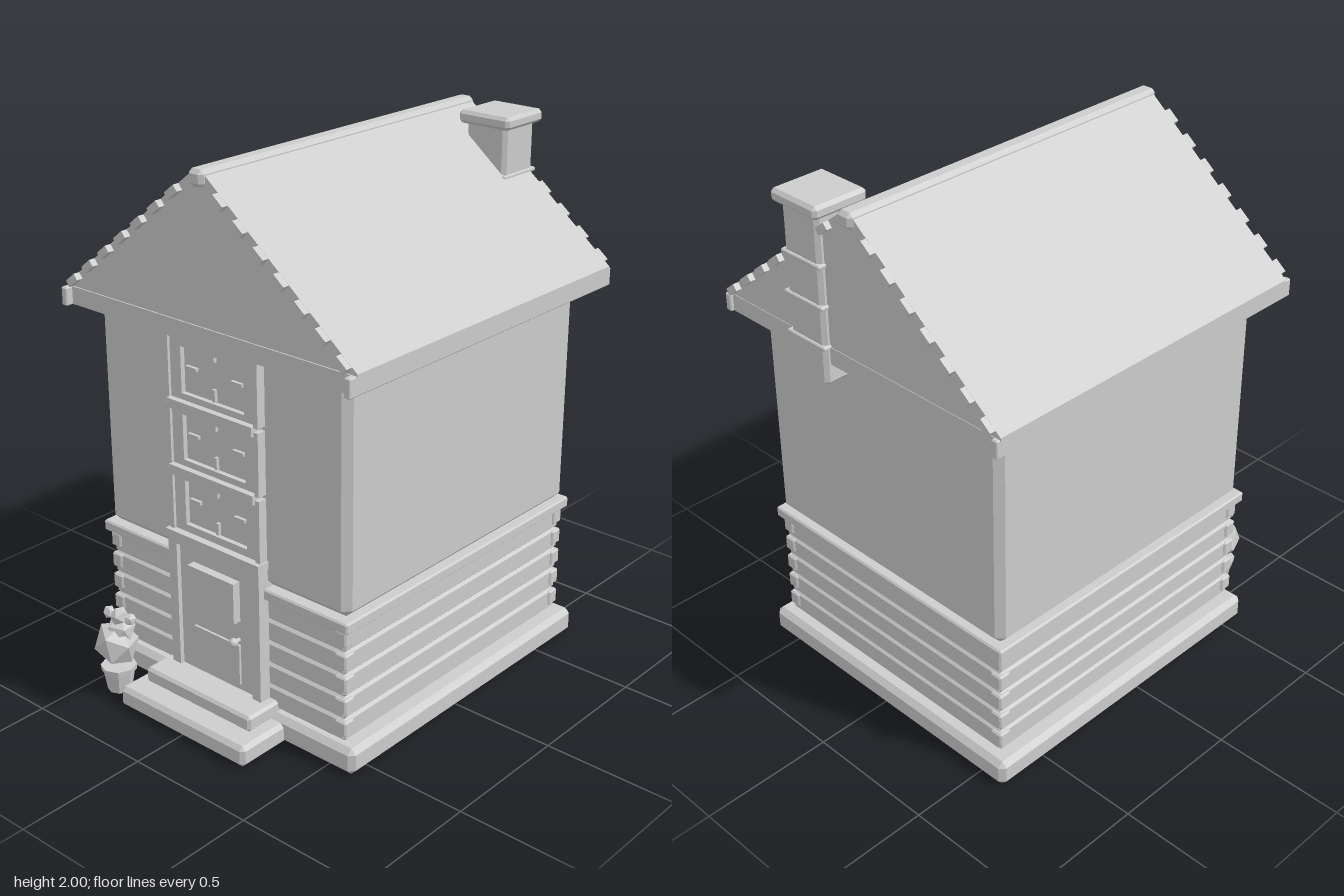
import * as THREE from 'three';
import { ConvexGeometry } from 'three/addons/geometries/ConvexGeometry.js';

export function createModel() {
  const house = new THREE.Group();
  house.name = 'house';
  const plaster = new THREE.MeshStandardMaterial({ color: 0xcccccc });
  plaster.name = 'plain grey';
  const leaf = plaster;

  const add = (name, geometry, parent = house) => {
    const mesh = new THREE.Mesh(geometry, plaster);
    mesh.name = name;
    parent.add(mesh);
    return mesh;
  };
  // Box from its limits; c is an optional 45 degree chamfer on every edge
  const block = (name, [x0, x1], [y0, y1], [z0, z1], c = 0, parent = house) => {
    const w = (x1 - x0) / 2, h = (y1 - y0) / 2, d = (z1 - z0) / 2;
    let geometry;
    if (c) {
      const pts = [];
      for (const i of [-1, 1]) for (const j of [-1, 1]) for (const k of [-1, 1]) {
        pts.push(
          new THREE.Vector3(i * w, j * (h - c), k * (d - c)),
          new THREE.Vector3(i * (w - c), j * h, k * (d - c)),
          new THREE.Vector3(i * (w - c), j * (h - c), k * d));
      }
      geometry = new ConvexGeometry(pts);
    } else geometry = new THREE.BoxGeometry(2 * w, 2 * h, 2 * d);
    const mesh = add(name, geometry, parent);
    mesh.position.set((x0 + x1) / 2, (y0 + y1) / 2, (z0 + z1) / 2);
    return mesh;
  };
  const sym = (v) => [-v, v];

  // Foundation and front steps
  block('foundation', sym(0.615), [0, 0.1], [-0.715, 0.595], 0.02);
  block('lowerStep', sym(0.305), [0, 0.08], [0.5, 0.8], 0.015);
  block('upperStep', sym(0.255), [0.08, 0.14], [0.5, 0.715], 0.01);

  // Lower storey: stacked boards with corner blocks
  const boards = 5, y0 = 0.105, pitch = 0.086;
  for (let i = 0; i < boards; i++) {
    const y = y0 + i * pitch;
    block('wallBoard', sym(0.56), [y, y + pitch], [-0.668, 0.568], 0.01);
    for (const x of [-0.5425, 0.5425]) for (const z of [-0.65, 0.55]) {
      block('cornerBlock', [x - 0.025, x + 0.025], [y + 0.022, y + 0.08], [z - 0.025, z + 0.025], 0.006);
    }
  }
  block('wallBand', sym(0.585), [0.533, 0.575], [-0.69, 0.59], 0.006);

  // Upper storey
  block('upperWall', sym(0.57), [0.575, 1.43], [-0.675, 0.57], 0.027);

  // Eaves
  block('eaves', sym(0.635), [1.41, 1.475], [-0.755, 0.635]);
  for (const s of [-1, 1]) {
    block('eaveBeam', [s * 0.643 - 0.013, s * 0.643 + 0.013], [1.408, 1.475], [-0.768, 0.663], 0.004);
  }

  // Roof: solid gable prism
  const gable = new THREE.Shape();
  gable.moveTo(-0.658, 1.47);
  gable.lineTo(0.658, 1.47);
  gable.lineTo(0.658, 1.482);
  gable.lineTo(0.02, 1.992);
  gable.lineTo(-0.02, 1.992);
  gable.lineTo(-0.658, 1.482);
  gable.closePath();
  const roof = new THREE.ExtrudeGeometry(gable, { depth: 1.383, bevelEnabled: false });
  add('roof', roof).position.z = -0.753;
  block('ridgeBeam', sym(0.033), [1.942, 2], [-0.768, 0.648], 0.014);

  // Trim tiles poking out along the gable edges
  const slope = Math.atan2(0.51, 0.638);
  for (const s of [-1, 1]) for (const z of [-0.757, 0.637]) {
    for (let i = 0; i < 7; i++) {
      const x = 0.1 + i * 0.0845;
      const tile = block('gableTile', sym(0.027), sym(0.013), sym(0.018));
      tile.position.set(s * x, 1.991 - x * 0.8, z);
      tile.rotation.z = -s * slope;
    }
  }

  // Chimney on the back wall
  const chimney = new THREE.Group();
  chimney.name = 'chimney';
  house.add(chimney);
  block('chimneyStack', [0.12, 0.295], [1.33, 1.96], [-0.775, -0.6], 0.014, chimney);
  for (const y of [1.475, 1.622, 1.77]) {
    block('chimneyBand', [0.113, 0.302], [y - 0.008, y + 0.008], [-0.784, -0.593], 0.004, chimney);
  }
  block('chimneyCap', [0.095, 0.315], [1.943, 1.99], [-0.8, -0.583], 0.012, chimney);

  // Front door
  const door = new THREE.Group();
  door.name = 'frontDoor';
  house.add(door);
  block('doorLeaf', sym(0.178), [0.14, 0.63], [0.54, 0.598], 0, door);
  for (const s of [-1, 1]) {
    block('doorJamb', [s * 0.197 - 0.02, s * 0.197 + 0.02], [0.14, 0.65], [0.54, 0.615], 0, door);
  }
  block('doorHeader', sym(0.177), [0.625, 0.65], [0.54, 0.614], 0, door);
  block('doorLintel', sym(0.222), [0.645, 0.675], [0.54, 0.622], 0, door);
  block('upperDoorPanel', sym(0.11), [0.415, 0.57], [0.59, 0.63], 0, door);
  block('lowerDoorPanel', sym(0.11), [0.165, 0.32], [0.59, 0.607], 0, door);
  const knob = add('doorKnob', new THREE.SphereGeometry(0.017, 10, 8), door);
  knob.position.set(0.103, 0.34, 0.627);
  const stem = add('knobStem', new THREE.CylinderGeometry(0.008, 0.008, 0.03, 8), door);
  stem.position.set(0.103, 0.34, 0.608);
  stem.rotation.x = Math.PI / 2;

  // Column of three windows above the door
  for (let i = 0; i < 3; i++) {
    const y = 0.675 + i * 0.246, top = y + 0.246, mid = (y + top) / 2;
    const win = new THREE.Group();
    win.name = 'window';
    house.add(win);
    block('pane', sym(0.2), [y, top], [0.55, 0.576], 0, win);
    for (const s of [-1, 1]) {
      block('windowJamb', [s * 0.205 - 0.01, s * 0.205 + 0.01], [y, top - 0.015], [0.55, 0.605], 0, win);
      block('sideFrame', [s * 0.17 - 0.025, s * 0.17 + 0.025], [y, top], [0.55, 0.594], 0, win);
      block('crossBar', [s * 0.105 - 0.025, s * 0.105 + 0.025], [mid - 0.006, mid + 0.006], [0.55, 0.588], 0, win);
      block('uprightBar', sym(0.006), [mid + s * 0.07 - 0.022, mid + s * 0.07 + 0.022], [0.55, 0.588], 0, win);
    }
    block('bottomFrame', sym(0.15), [y, y + 0.028], [0.55, 0.594], 0, win);
    block('topFrame', sym(0.15), [top - 0.05, top], [0.55, 0.594], 0, win);
    if (i < 2) block('windowSill', sym(0.197), [top - 0.03, top + 0.005], [0.55, 0.617], 0, win);
  }

  // Potted bush beside the steps
  const plant = new THREE.Group();
  plant.name = 'pottedBush';
  plant.position.set(-0.395, 0, 0.72);
  house.add(plant);
  const facet = (geometry) => {
    const g = geometry.index ? geometry.toNonIndexed() : geometry;
    g.computeVertexNormals();
    return g;
  };
  add('pot', facet(new THREE.CylinderGeometry(0.058, 0.045, 0.08, 8)), plant).position.y = 0.04;
  add('potRim', facet(new THREE.CylinderGeometry(0.066, 0.064, 0.022, 8)), plant).position.y = 0.089;
  const clumps = [
    [0, 0.19, 0.005, 0.082, 1.12], [0.01, 0.245, -0.01, 0.058, 0.9], [0.015, 0.305, 0, 0.036, 0.9],
    [0.05, 0.295, -0.02, 0.025, 1], [-0.02, 0.315, 0.015, 0.025, 0.8],
  ];
  clumps.forEach(([x, y, z, r, sy], i) => {
    const clump = add('leafClump', facet(new THREE.IcosahedronGeometry(r, 0)), plant);
    clump.position.set(x, y, z);
    clump.scale.set(1, sy, 1);
    clump.rotation.set(0.3 * i, 0.9 * i + 0.4, 0.2);
  });
  return house;
}
